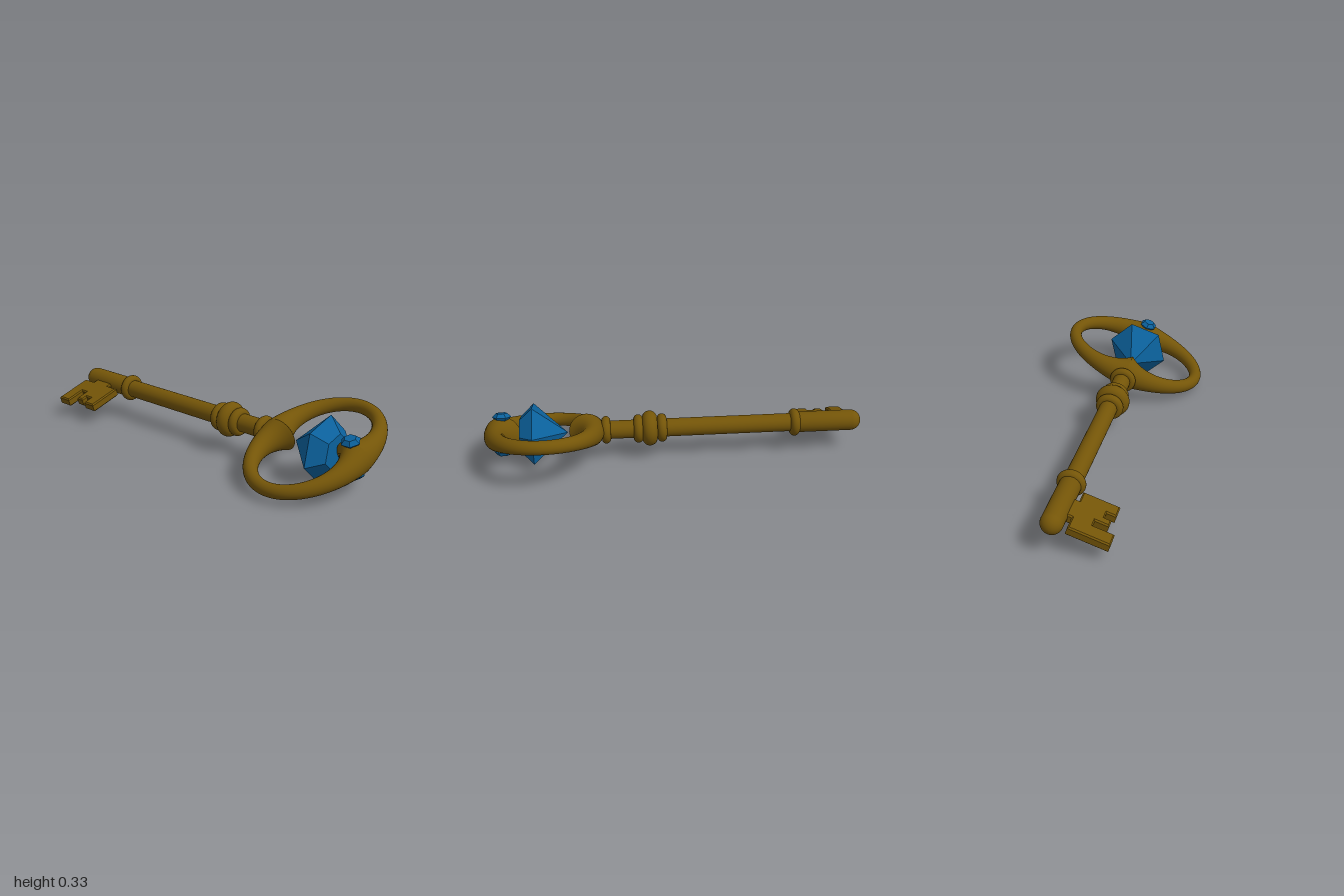
import * as THREE from 'three';

const gold = new THREE.MeshStandardMaterial({ color: 0x745508 });
const blue = new THREE.MeshStandardMaterial({ color: 0x0b619c, flatShading: true });

function add(parent, name, geometry, material = gold) {
  const mesh = new THREE.Mesh(geometry, material);
  mesh.name = name;
  parent.add(mesh);
  return mesh;
}

// Half of the bow: a round tube hugging an ellipse, swelling towards the middle
function bowHalf(start) {
  const A = 0.409, B = 0.313, CZ = 0.686, N = 72, M = 28;
  const pos = [], index = [];
  for (let i = 0; i <= N; i++) {
    const a = start + Math.PI * i / N;
    const x = A * Math.cos(a), z = B * Math.sin(a);
    const n = new THREE.Vector2(-Math.cos(a) / A, -Math.sin(a) / B).normalize();
    const r = 0.031 + 0.062 * Math.exp(-Math.abs(x) / 0.13);
    const height = 0.029 + 0.062 * Math.exp(-Math.abs(x) / 0.18);
    for (let j = 0; j < M; j++) {
      const t = 2 * Math.PI * j / M, d = r * (1 + Math.cos(t));
      pos.push(x + n.x * d, height * Math.sin(t), CZ + z + n.y * d);
      if (i < N) {
        const p = i * M + j, q = i * M + (j + 1) % M;
        index.push(p, p + M, q, q, p + M, q + M);
      }
    }
  }
  const g = new THREE.BufferGeometry();
  g.setAttribute('position', new THREE.Float32BufferAttribute(pos, 3));
  g.setIndex(index);
  g.computeVertexNormals();
  return g;
}

// Six-sided cut stone: table on +y, girdle at y = 0, point on -y
function gem(parent, name, girdle, table, crown, depth) {
  const profile = [[0, -depth], [girdle, 0], [table, crown], [0, crown]];
  const g = new THREE.LatheGeometry(profile.map(p => new THREE.Vector2(...p)), 6);
  return add(parent, name, g, blue);
}

export function createModel() {
  const model = new THREE.Group();
  model.name = 'key';
  const key = new THREE.Group();
  key.name = 'tiltedKey';
  key.position.y = 0.17;
  key.rotation.z = 0.304;
  model.add(key);

  // Bow
  add(key, 'bowLeft', bowHalf(-Math.PI / 2));
  add(key, 'bowRight', bowHalf(Math.PI / 2));

  // Shaft and thicker round-ended tip
  const shaft = add(key, 'shaft', new THREE.CylinderGeometry(0.048, 0.048, 1.06, 32));
  shaft.rotation.x = Math.PI / 2;
  shaft.position.set(0.002, 0, -0.11);
  const tipProfile = [new THREE.Vector2(0, -0.63), new THREE.Vector2(0.055, -0.63)];
  for (let i = 0; i <= 10; i++) {
    const a = i / 10 * Math.PI / 2;
    tipProfile.push(new THREE.Vector2(0.055 * Math.cos(a), -0.945 - 0.055 * Math.sin(a)));
  }
  const tip = add(key, 'shaftTip', new THREE.LatheGeometry(tipProfile.reverse(), 32));
  tip.rotation.x = Math.PI / 2;
  tip.position.x = 0.004;

  // Collars: x, z, outer radius, half width
  for (const [x, z, r, t] of [[0, 0.365, 0.073, 0.023], [0, 0.195, 0.075, 0.025],
    [0, 0.135, 0.093, 0.04], [0, 0.07, 0.075, 0.025], [0.004, -0.64, 0.073, 0.025]]) {
    add(key, 'collar', new THREE.TorusGeometry(r - t, t, 20, 40)).position.set(x, 0, z);
  }

  // Toothed bit with a narrow neck, drawn as (x, z)
  const outline = [[-0.02, -0.885], [-0.068, -0.885], [-0.068, -0.96], [-0.277, -0.96],
    [-0.277, -0.88], [-0.17, -0.88], [-0.17, -0.845], [-0.24, -0.845], [-0.24, -0.80],
    [-0.205, -0.80], [-0.205, -0.765], [-0.255, -0.765], [-0.255, -0.69],
    [-0.068, -0.69], [-0.068, -0.76], [-0.02, -0.76]];
  const bevel = 0.007, half = 0.024;
  const bitGeo = new THREE.ExtrudeGeometry(
    new THREE.Shape(outline.map(p => new THREE.Vector2(...p))),
    { depth: 2 * (half - bevel), bevelSize: bevel, bevelThickness: bevel, bevelOffset: -bevel, bevelSegments: 1 });
  bitGeo.translate(0, 0, bevel - half);
  bitGeo.rotateX(Math.PI / 2);
  add(key, 'bit', bitGeo);

  // Large stone inside the bow, pointing along the shaft
  const centreGem = gem(key, 'centreGem', 0.17, 0.095, 0.07, 0.177);
  centreGem.geometry.rotateY(Math.PI / 2);
  centreGem.rotation.x = Math.PI / 2;
  centreGem.position.set(0, -0.004, 0.743);

  // Small stones set in both faces of the bow
  for (const side of [1, -1]) {
    const stone = gem(key, 'smallGem', 0.05, 0.03, 0.02, 0.05);
    stone.position.set(0, side * 0.092, 0.905);
    if (side < 0) stone.rotation.z = Math.PI;
  }
  return model;
}
